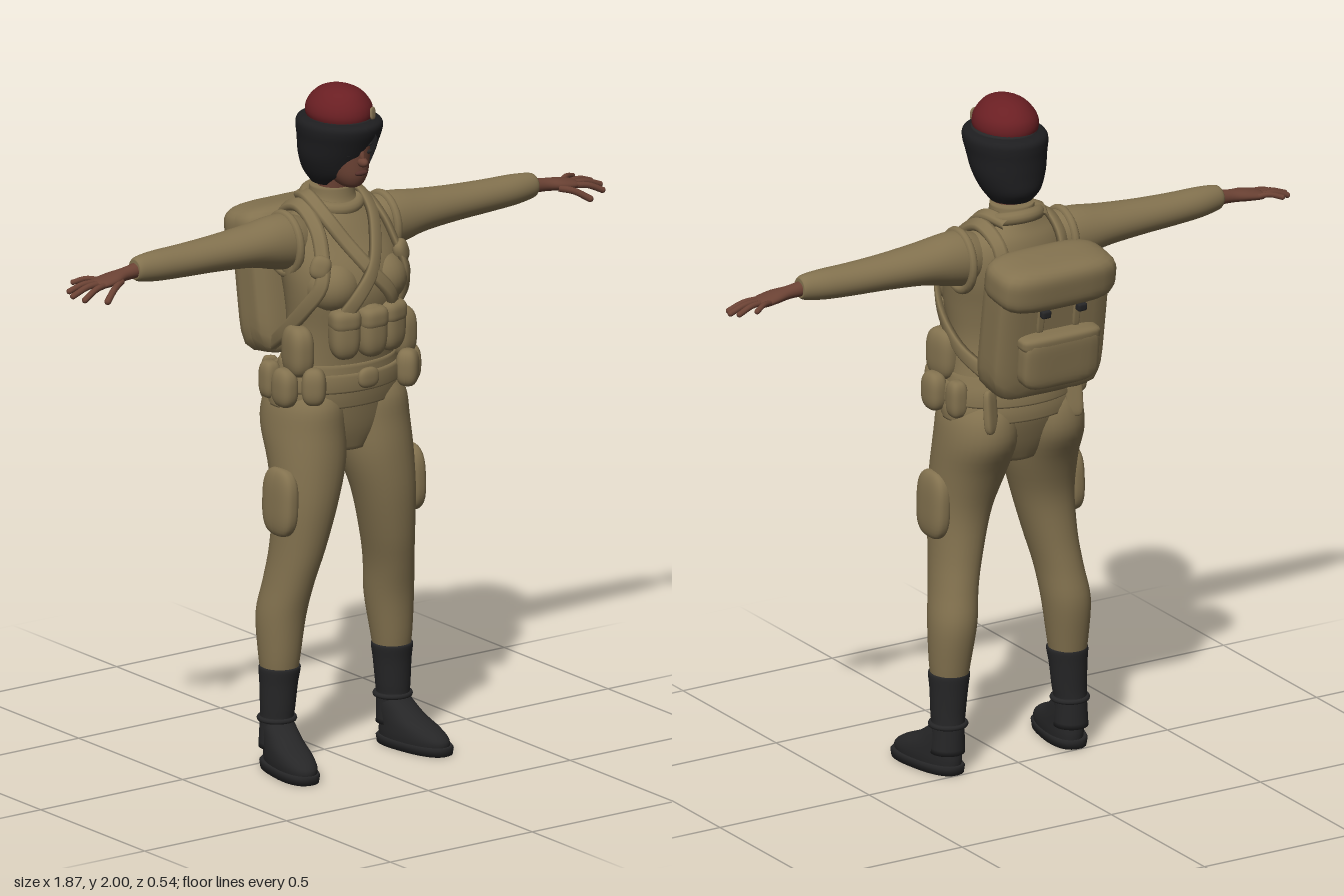
import * as THREE from 'three';

const mat = (name, color, side = THREE.FrontSide) => {
  const m = new THREE.MeshStandardMaterial({ color, side });
  m.name = name;
  return m;
};

// Smooth in-between rows for a list of number rows
function smoothRows(rows, steps) {
  const out = [];
  for (let i = 0; i < rows.length - 1; i++) {
    const a = rows[Math.max(i - 1, 0)], b = rows[i], c = rows[i + 1], d = rows[Math.min(i + 2, rows.length - 1)];
    for (let k = 0; k < steps; k++) {
      const t = k / steps;
      out.push(b.map((v, j) => {
        const cubic = 3 * (v - c[j]) + d[j] - a[j];
        const square = 2 * a[j] - 5 * v + 4 * c[j] - d[j];
        return v + 0.5 * t * (c[j] - a[j] + t * (square + t * cubic));
      }));
    }
  }
  out.push(rows[rows.length - 1]);
  return out;
}

function geometryFrom(pos, index) {
  const g = new THREE.BufferGeometry();
  g.setAttribute('position', new THREE.Float32BufferAttribute(pos, 3));
  g.setIndex(index);
  g.computeVertexNormals();
  return g;
}

// Closed body from rows [y, centreX, centreZ, radiusX, radiusZ]; n sets how square the rings are
function loft(rows, { seg = 32, steps = 4, n = 2 } = {}) {
  const rings = smoothRows(rows, steps), pos = [], index = [];
  const pw = (v) => Math.sign(v) * Math.pow(Math.abs(v), 2 / n);
  rings.forEach(([y, cx, cz, rx, rz]) => {
    for (let i = 0; i < seg; i++) {
      const a = (i / seg) * Math.PI * 2;
      pos.push(cx + rx * pw(Math.sin(a)), y, cz + rz * pw(Math.cos(a)));
    }
  });
  const last = rings.length - 1, bottom = pos.length / 3, top = bottom + 1;
  for (const r of [rings[0], rings[last]]) pos.push(r[1], r[0], r[2]);
  for (let i = 0; i < seg; i++) {
    const k = (i + 1) % seg;
    for (let j = 0; j < last; j++) {
      const p = j * seg, q = p + seg;
      index.push(p + i, p + k, q + i, p + k, q + k, q + i);
    }
    index.push(bottom, k, i, top, last * seg + i, last * seg + k);
  }
  return geometryFrom(pos, index);
}

// Padded block: a sphere pushed towards a box; p sets how boxy
function padded(w, h, d, p = 3.2) {
  const g = new THREE.SphereGeometry(1, 32, 24), a = g.attributes.position, v = new THREE.Vector3();
  for (let i = 0; i < a.count; i++) {
    v.fromBufferAttribute(a, i);
    const sum = Math.pow(Math.abs(v.x), p) + Math.pow(Math.abs(v.y), p) + Math.pow(Math.abs(v.z), p);
    const s = Math.pow(sum, -1 / p) / 2;
    a.setXYZ(i, v.x * s * w, v.y * s * h, v.z * s * d);
  }
  g.computeVertexNormals();
  return g;
}

// Flat strap along 3D points, facing away from the body's upright axis
function strap(points, width, thick) {
  const curve = new THREE.CatmullRomCurve3(points.map((p) => new THREE.Vector3(...p)));
  const N = 40, pos = [], index = [];
  for (let i = 0; i <= N; i++) {
    const p = curve.getPoint(i / N), t = curve.getTangent(i / N);
    const out = new THREE.Vector3(p.x, Math.max(0, (p.y - 1.5) * 1.2), p.z - 0.05);
    const side = new THREE.Vector3().crossVectors(t, out).normalize();
    const nor = new THREE.Vector3().crossVectors(side, t).normalize();
    for (const [a, b] of [[-1, -1], [1, -1], [1, 0.4], [0.6, 1], [-0.6, 1], [-1, 0.4]]) {
      const q = p.clone().addScaledVector(side, a * width / 2).addScaledVector(nor, b * thick / 2);
      pos.push(q.x, q.y, q.z);
    }
    if (i < N) for (let k = 0; k < 6; k++) {
      const a = i * 6 + k, b = i * 6 + (k + 1) % 6;
      index.push(a, a + 6, b, b, a + 6, b + 6);
    }
  }
  return geometryFrom(pos, index);
}

const TORSO = [
  [0.93, 0, 0.06, 0.09, 0.09], [1.0, 0, 0.055, 0.19, 0.115], [1.1, 0, 0.05, 0.202, 0.135],
  [1.2, 0, 0.065, 0.178, 0.13], [1.3, 0, 0.08, 0.168, 0.13], [1.4, 0, 0.085, 0.178, 0.145],
  [1.48, 0, 0.07, 0.186, 0.143], [1.55, 0, 0.05, 0.182, 0.12], [1.6, 0, 0.04, 0.15, 0.1],
  [1.635, 0, 0.037, 0.1, 0.08], [1.66, 0, 0.035, 0.07, 0.068], [1.695, 0, 0.035, 0.064, 0.062]];

// Point on the front of the torso
function onChest(x, y, lift) {
  const i = TORSO.findIndex((r) => r[0] >= y), a = TORSO[i - 1], b = TORSO[i];
  const t = (y - a[0]) / (b[0] - a[0]), f = (j) => a[j] + t * (b[j] - a[j]);
  return [x, y, f(2) + f(4) * Math.sqrt(Math.max(0, 1 - (x / f(3)) ** 2)) + lift];
}

// Hair shell with an open face; the fringe hangs over the right eye
function hairShell() {
  // y, centreZ, radiusX, radiusZ, left edge angle, right edge angle (from the front)
  const rows = smoothRows([
    [1.705, 0.04, 0.062, 0.065, 1.0, 0.95], [1.74, 0.045, 0.085, 0.1, 0.8, 0.62],
    [1.79, 0.055, 0.105, 0.115, 0.72, 0.22], [1.84, 0.065, 0.112, 0.128, 0.55, -0.12],
    [1.87, 0.07, 0.117, 0.136, 0.3, -0.28], [1.89, 0.072, 0.116, 0.137, 0, 0],
    [1.902, 0.073, 0.104, 0.124, 0, 0], [1.91, 0.074, 0.07, 0.08, 0, 0]], 4);
  const seg = 48, pos = [], index = [];
  rows.forEach(([y, cz, rx, rz, l, r], j) => {
    for (let i = 0; i <= seg; i++) {
      const a = l + (i / seg) * (Math.PI * 2 - r - l);
      pos.push(rx * Math.sin(a), y, cz + rz * Math.cos(a));
      const p = j * (seg + 1) + i, q = p + seg + 1;
      if (j < rows.length - 1 && i < seg) index.push(p, p + 1, q, p + 1, q + 1, q);
    }
  });
  return geometryFrom(pos, index);
}

export function createModel() {
  const model = new THREE.Group();
  const khaki = mat('khaki cloth', 0x83724f), skin = mat('skin', 0x6b4234), black = mat('black leather', 0x262627);
  const hair = mat('black hair', 0x1e1e20, THREE.DoubleSide), red = mat('red felt', 0x6a1f23);
  const brass = mat('badge metal', 0x8a7858), lip = mat('lips', 0x55302a);
  const add = (name, geo, m, x = 0, y = 0, z = 0, rx = 0, ry = 0, rz = 0) => {
    const o = new THREE.Mesh(geo, m);
    o.name = name;
    o.position.set(x, y, z);
    o.rotation.set(rx, ry, rz);
    model.add(o);
    return o;
  };
  const ball = (name, m, x, y, z, a, b, c) => add(name, new THREE.SphereGeometry(1, 28, 20), m, x, y, z).scale.set(a, b, c);

  // Torso, vest and belt
  add('torso', loft(TORSO, { seg: 48 }), khaki);
  add('vestHem', loft([[1.07, 0, 0.048, 0.212, 0.142], [1.1, 0, 0.05, 0.212, 0.145], [1.14, 0, 0.055, 0.2, 0.143], [1.2, 0, 0.064, 0.18, 0.132]], { seg: 48 }), khaki);
  add('belt', loft([[1.118, 0, 0.053, 0.205, 0.15], [1.125, 0, 0.053, 0.211, 0.156], [1.165, 0, 0.056, 0.206, 0.153], [1.172, 0, 0.056, 0.198, 0.146]], { seg: 48, steps: 1 }), khaki);
  add('beltBuckle', padded(0.07, 0.06, 0.03, 2.5), khaki, 0, 1.158, 0.212);
  add('collarRoll', new THREE.TorusGeometry(0.075, 0.02, 12, 36), khaki, 0, 1.652, 0.035, Math.PI / 2 + 0.25);

  // Row of front pouches with lids
  for (const x of [-0.08, 0, 0.08]) {
    const z = 0.225 - Math.abs(x) * 0.25;
    add('frontPouch', padded(0.088, 0.155, 0.08, 2.8), khaki, x, 1.303, z, 0, x * 3, 0);
    add('frontPouchLid', padded(0.09, 0.07, 0.086, 3.2), khaki, x, 1.342, z, 0, x * 3, 0);
  }

  for (const s of [1, -1]) {
    // Chest, harness and side pouches
    ball('bust', khaki, s * 0.082, 1.43, 0.145, 0.083, 0.08, 0.085);
    add('armhole', new THREE.TorusGeometry(0.082, 0.013, 10, 32), khaki, s * 0.172, 1.545, 0.043, 0, Math.PI / 2).scale.set(0.95, 1.05, 1);
    const lift = s > 0 ? 0.02 : 0.012;
    add('crossStrap', strap([[s * 0.06, 1.66, -0.035], [s * 0.085, 1.67, 0.04], onChest(s * 0.08, 1.625, 0.02), onChest(s * 0.05, 1.56, lift),
      onChest(0, 1.48, lift), onChest(s * -0.06, 1.41, lift + 0.004), onChest(s * -0.1, 1.34, lift)], 0.04, 0.018), khaki);
    add('shoulderStrap', strap([[s * 0.1, 1.53, -0.09], [s * 0.105, 1.61, -0.06], [s * 0.112, 1.648, 0.03], [s * 0.118, 1.6, 0.12], [s * 0.13, 1.53, 0.165],
      [s * 0.15, 1.45, 0.19], [s * 0.175, 1.37, 0.14], [s * 0.176, 1.28, 0.04], [s * 0.14, 1.22, -0.06]], 0.042, 0.018), khaki);
    add('chestFold', padded(0.06, 0.07, 0.04, 2.6), khaki, s * 0.142, 1.5, 0.175, -0.2, s * 0.6, s * 0.4);
    add('sidePouch', padded(0.075, 0.15, 0.11, 3), khaki, s * 0.178, 1.245, 0.115, 0, s * 0.15, 0);
    add('beltPouch', padded(0.06, 0.115, 0.085, 2.8), khaki, s * 0.217, 1.14, 0.105);
    add('beltPouchFront', padded(0.07, 0.11, 0.065, 2.8), khaki, s * 0.165, 1.15, 0.175, 0, s * 0.7, 0);
    add('beltPouchBack', padded(0.055, 0.11, 0.06, 3.2), khaki, s * 0.2, 1.14, 0.01);
    add('hipFlap', padded(0.05, 0.13, 0.025, 4), khaki, s * 0.14, 1.115, -0.075, 0.1, s * 0.45, 0);

    // Leg
    add('trouserLeg', loft([
      [0.27, s * 0.198, 0.053, 0.05, 0.052], [0.33, s * 0.197, 0.052, 0.058, 0.062], [0.45, s * 0.19, 0.05, 0.068, 0.077],
      [0.55, s * 0.176, 0.068, 0.067, 0.082], [0.65, s * 0.158, 0.085, 0.074, 0.088], [0.78, s * 0.138, 0.094, 0.09, 0.097],
      [0.9, s * 0.119, 0.077, 0.107, 0.117], [1.0, s * 0.112, 0.05, 0.11, 0.139], [1.08, s * 0.108, 0.049, 0.1, 0.135],
      [1.14, s * 0.1, 0.05, 0.07, 0.1]], { n: 2.1 }), khaki);
    add('thighPocket', padded(0.06, 0.2, 0.135, 3), khaki, s * 0.225, 0.8, 0.095, 0, 0, s * 0.03);

    // Boot
    add('bootShaft', loft([[0.06, s * 0.207, 0.05, 0.05, 0.052], [0.14, s * 0.205, 0.05, 0.047, 0.051], [0.18, s * 0.203, 0.052, 0.05, 0.052],
      [0.25, s * 0.2, 0.053, 0.055, 0.056], [0.295, s * 0.198, 0.055, 0.06, 0.061], [0.3, s * 0.198, 0.055, 0.054, 0.055]]), black);
    add('bootAnkleCuff', new THREE.TorusGeometry(0.05, 0.008, 8, 28), black, s * 0.204, 0.145, 0.05, Math.PI / 2);
    add('bootFoot', loft([[0.015, 0, 0.085, 0.052, 0.126], [0.04, 0, 0.085, 0.055, 0.127], [0.065, 0, 0.07, 0.054, 0.109],
      [0.095, 0, 0.035, 0.05, 0.077], [0.13, 0, 0.008, 0.045, 0.053], [0.15, 0, 0.003, 0.035, 0.042]], { n: 2.2 }), black, s * 0.204, 0, 0.05, 0, s * 0.17, 0);
    add('bootSole', loft([[0, 0, 0.085, 0.057, 0.133], [0.02, 0, 0.085, 0.06, 0.136], [0.026, 0, 0.085, 0.056, 0.131]], { n: 2.5, steps: 1 }), black, s * 0.206, 0, 0.05, 0, s * 0.17, 0);

    // Sleeve and hand, lofted upright then turned sideways
    const arm = (rows) => loft(rows.map(([x, y, z, ry, rz]) => [x, -s * y, z, ry, rz])).rotateZ(-s * Math.PI / 2);
    add('sleeve', arm([[0.1, 1.55, 0.042, 0.06, 0.06], [0.16, 1.552, 0.042, 0.08, 0.075], [0.22, 1.556, 0.042, 0.077, 0.075], [0.3, 1.56, 0.042, 0.062, 0.07],
      [0.42, 1.56, 0.042, 0.052, 0.06], [0.54, 1.56, 0.043, 0.047, 0.052], [0.63, 1.562, 0.045, 0.044, 0.045],
      [0.69, 1.564, 0.047, 0.037, 0.034], [0.705, 1.564, 0.047, 0.028, 0.027]]), khaki);
    add('hand', arm([[0.69, 1.563, 0.047, 0.023, 0.023], [0.74, 1.558, 0.049, 0.019, 0.022], [0.785, 1.553, 0.052, 0.018, 0.034],
      [0.83, 1.547, 0.05, 0.014, 0.036], [0.845, 1.546, 0.048, 0.008, 0.028]]), skin);
    for (const [name, a, b, r] of [
      ['thumb', [0.77, 1.548, 0.075], [0.85, 1.513, 0.118], 0.01], ['indexFinger', [0.825, 1.547, 0.074], [0.912, 1.522, 0.093], 0.009],
      ['middleFinger', [0.83, 1.548, 0.056], [0.928, 1.528, 0.058], 0.009], ['ringFinger', [0.83, 1.548, 0.038], [0.918, 1.533, 0.026], 0.0085],
      ['littleFinger', [0.815, 1.549, 0.024], [0.88, 1.545, -0.008], 0.008]]) {
      const mid = [(a[0] + b[0]) / 2, (a[1] + b[1]) / 2 + 0.007, (a[2] + b[2]) / 2];
      const p = [a, mid, b].map(([x, y, z]) => new THREE.Vector3(s * x, y, z));
      add(name, new THREE.TubeGeometry(new THREE.CatmullRomCurve3(p), 10, r, 10), skin);
      ball(name + 'Tip', skin, ...p[2].toArray(), r, r, r);
    }

    // Eyes, brows and ears
    ball('eye', black, s * 0.032, 1.812, 0.168, 0.013, 0.006, 0.005);
    add('brow', padded(0.034, 0.007, 0.008, 2.5), black, s * 0.033, 1.834, 0.17, 0, s * 0.4, 0);
    ball('ear', skin, s * 0.073, 1.805, 0.065, 0.01, 0.026, 0.018);

    // Pack buckles
    add('packStrap', padded(0.022, 0.1, 0.012, 5), khaki, s * 0.06, 1.43, -0.217, -0.14);
    add('packBuckle', padded(0.03, 0.024, 0.022, 5), black, s * 0.06, 1.45, -0.243, -0.15);
  }

  // Neck and head
  add('neck', new THREE.CylinderGeometry(0.045, 0.05, 0.13, 28), skin, 0, 1.71, 0.05, 0.15);
  add('head', loft([[1.708, 0, 0.125, 0.02, 0.025], [1.718, 0, 0.12, 0.036, 0.045], [1.745, 0, 0.105, 0.055, 0.072], [1.785, 0, 0.085, 0.069, 0.094],
    [1.83, 0, 0.077, 0.075, 0.1], [1.88, 0, 0.074, 0.076, 0.1], [1.92, 0, 0.074, 0.06, 0.08]]), skin);
  ball('nose', skin, 0, 1.79, 0.184, 0.014, 0.014, 0.02);
  add('noseBridge', padded(0.016, 0.05, 0.022, 2.3), skin, 0, 1.812, 0.178, -0.25);
  ball('mouth', lip, 0, 1.757, 0.178, 0.022, 0.008, 0.009);
  add('hair', hairShell(), hair);

  // Beret
  add('beretBand', new THREE.TorusGeometry(0.088, 0.009, 8, 40), black, 0, 1.903, 0.075, Math.PI / 2).scale.set(0.97, 1.12, 1);
  add('beret', loft([[1.895, -0.003, 0.076, 0.084, 0.1], [1.92, -0.004, 0.076, 0.092, 0.107], [1.95, -0.004, 0.076, 0.085, 0.1],
    [1.98, -0.006, 0.08, 0.06, 0.074], [1.995, -0.007, 0.082, 0.03, 0.04], [2.0, -0.007, 0.082, 0.003, 0.004]]), red);
  add('beretBadge', padded(0.026, 0.036, 0.009, 3), brass, 0.045, 1.925, 0.171, -0.1, 0.45, 0);

  // Backpack
  add('packBody', padded(0.36, 0.42, 0.15, 7), khaki, 0, 1.385, -0.133, -0.15);
  add('packFlap', padded(0.38, 0.14, 0.195, 4), khaki, 0, 1.53, -0.172, -0.15);
  add('packPocket', padded(0.25, 0.165, 0.075, 5), khaki, 0, 1.3, -0.213, -0.12);
  add('packPocketLid', padded(0.26, 0.05, 0.08, 4), khaki, 0, 1.36, -0.216, -0.12);
  return model;
}
